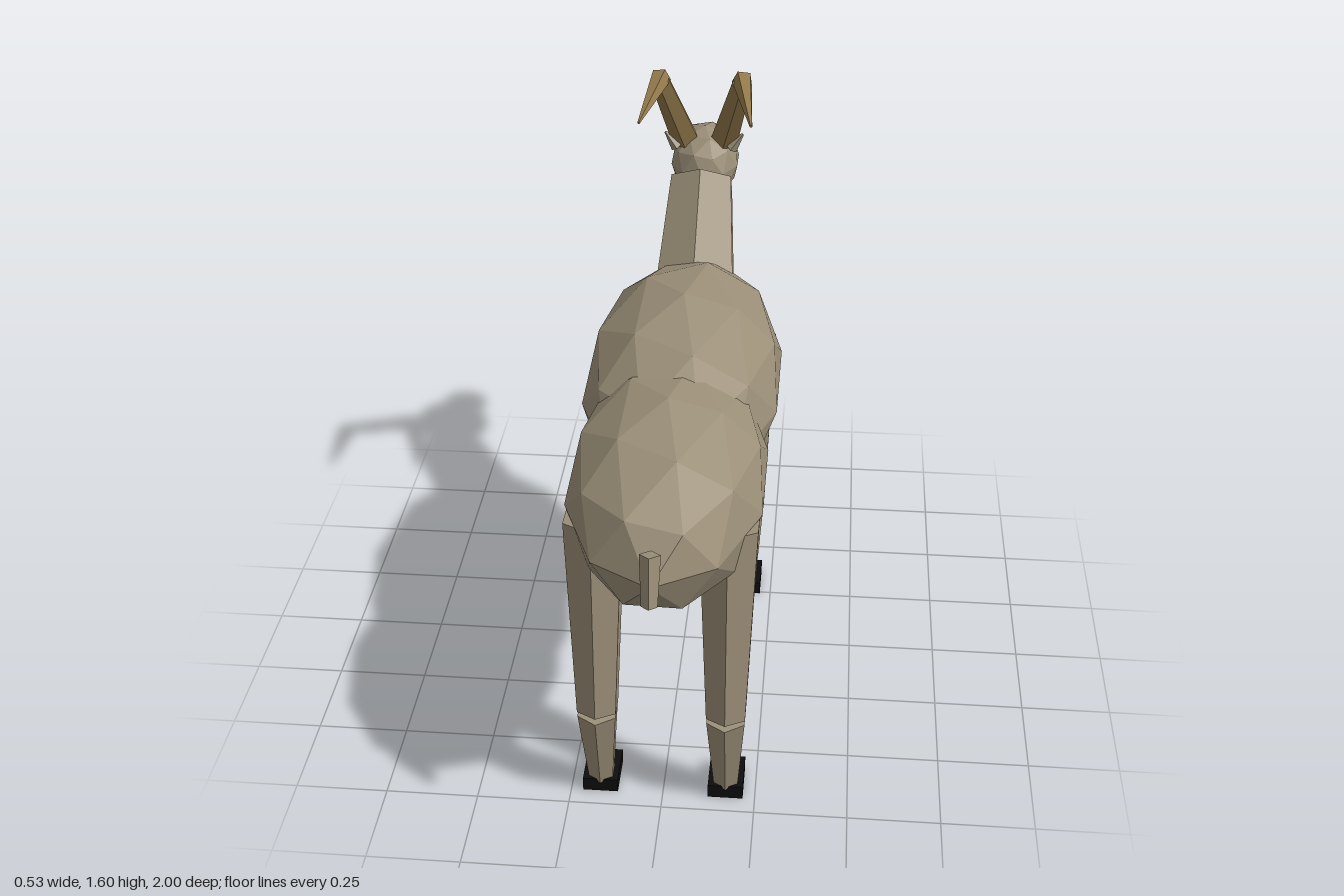
import * as THREE from 'three';

const mat = (name, color) => {
  const m = new THREE.MeshStandardMaterial({ color, flatShading: true });
  m.name = name;
  return m;
};

export function createModel() {
  const group = new THREE.Group();
  const coat = mat('coat', 0x9b8f78);
  const horn = mat('horn', 0x937a4b);
  const black = mat('black', 0x0d0d0d);

  const add = (name, geometry, material) => {
    const mesh = new THREE.Mesh(geometry, material);
    mesh.name = name;
    group.add(mesh);
    return mesh;
  };

  // faceted ellipsoid with a vertex pointing straight up
  const blob = (name, pos, radii, material = coat, detail = 1) => {
    const g = new THREE.IcosahedronGeometry(1, detail);
    g.rotateZ(-Math.atan(2 / (1 + Math.sqrt(5))));
    g.scale(...radii);
    add(name, g, material).position.set(...pos);
  };

  // tapered prism running from a to b
  const limb = (name, a, b, ra, rb, sides, material = coat) => {
    const start = new THREE.Vector3(...a);
    const end = new THREE.Vector3(...b);
    const dir = end.clone().sub(start);
    const mesh = add(name, new THREE.CylinderGeometry(rb, ra, dir.length(), sides), material);
    mesh.position.copy(start).add(end).multiplyScalar(0.5);
    mesh.quaternion.setFromUnitVectors(new THREE.Vector3(0, 1, 0), dir.normalize());
  };

  // body
  blob('chest', [0, 0.91, 0], [0.279, 0.26, 0.555]);
  blob('rump', [0, 0.885, 0.48], [0.263, 0.235, 0.49]);
  blob('belly', [0, 0.77, 0.22], [0.22, 0.12, 0.42]);
  limb('tail', [0, 0.97, 0.953], [0, 0.84, 0.982], 0.026, 0.02, 4);

  // neck and head
  limb('neck', [0, 0.98, -0.38], [0, 1.23, -0.625], 0.13, 0.102, 6);
  blob('head', [0, 1.245, -0.762], [0.105, 0.11, 0.142]);
  blob('muzzle', [0, 1.212, -0.925], [0.068, 0.053, 0.073]);

  for (const side of [1, -1]) {
    const label = side > 0 ? 'left' : 'right';

    // eyes, ears and swept-back horns
    blob(label + 'Eye', [side * 0.08, 1.3, -0.802], [0.009, 0.009, 0.009], black, 0);
    limb(label + 'Ear', [side * 0.08, 1.31, -0.7], [side * 0.116, 1.355, -0.7], 0.022, 0.004, 4);
    limb(label + 'HornBase', [side * 0.058, 1.325, -0.73], [side * 0.118, 1.565, -0.572],
      0.043, 0.03, 5, horn);
    limb(label + 'HornTip', [side * 0.118, 1.568, -0.585], [side * 0.157, 1.525, -0.338],
      0.031, 0.004, 5, horn);

    // legs: hip, knee, ankle and hoof positions along z
    const legs = [
      ['Front', -0.285, -0.31, -0.268, -0.305],
      ['Back', 0.67, 0.706, 0.665, 0.636],
    ];
    for (const [end, hip, knee, ankle, hoof] of legs) {
      const x = side * 0.17;
      limb(label + end + 'UpperLeg', [x, 0.88, hip], [x, 0.3, knee], 0.085, 0.059, 6);
      limb(label + end + 'LowerLeg', [x, 0.292, knee], [x, 0.035, ankle], 0.058, 0.037, 6);
      add(label + end + 'Hoof', new THREE.BoxGeometry(0.095, 0.04, 0.125), black)
        .position.set(x, 0.02, hoof);
    }
  }
  return group;
}
